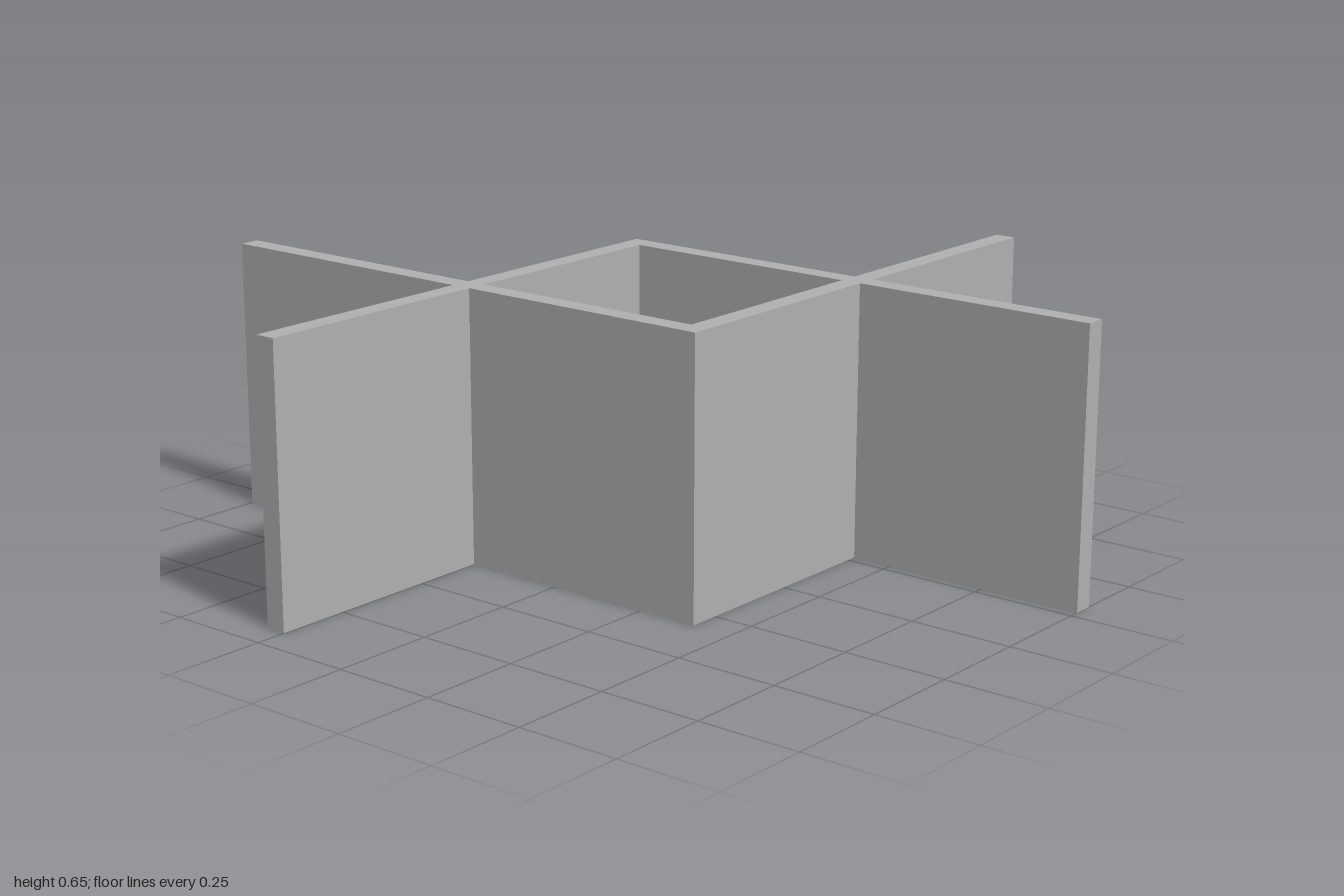
import * as THREE from 'three';

const HEIGHT = 0.655;
const END_X = 0.925; // open end of the front panel

// Outer plan outline of the four crossing panels, as [x, z]
const OUTLINE = [
  [-0.325, -1], [-0.275, -1], [-0.275, -0.3], [0.325, -0.3],
  [0.325, 0.35], [END_X, 0.35], [END_X, 0.4], [0.325, 0.4],
  [0.325, 1], [0.275, 1], [0.275, 0.4], [-0.325, 0.4],
  [-0.325, -0.25], [-END_X, -0.25], [-END_X, -0.3], [-0.325, -0.3],
];

// Central cell enclosed by the panels
const CELL = [[-0.275, -0.25], [-0.275, 0.35], [0.275, 0.35], [0.275, -0.25]];

const toPoints = (list) => list.map(([x, z]) => new THREE.Vector2(x, z));

// Drop the triangles that close the hollow panel at its +x end
function openEnd(geometry) {
  const pos = geometry.attributes.position;
  const kept = [];
  for (let i = 0; i < pos.count; i += 3) {
    const isCap = [0, 1, 2].every((k) => pos.getX(i + k) > END_X - 1e-4);
    if (!isCap) for (let k = 0; k < 3; k++) kept.push(pos.getX(i + k), pos.getY(i + k), pos.getZ(i + k));
  }
  const result = new THREE.BufferGeometry();
  result.setAttribute('position', new THREE.Float32BufferAttribute(kept, 3));
  result.computeVertexNormals();
  return result;
}

export function createModel() {
  const grey = new THREE.MeshStandardMaterial({ color: 0xb0b0b0, side: THREE.DoubleSide });
  grey.name = 'plain grey';

  const plan = new THREE.Shape(toPoints(OUTLINE));
  plan.holes.push(new THREE.Path(toPoints(CELL)));

  // Extrude the plan upward: shape y becomes z
  const geometry = new THREE.ExtrudeGeometry(plan, { depth: HEIGHT, bevelEnabled: false });
  geometry.rotateX(Math.PI / 2).translate(0, HEIGHT, 0);

  const panels = new THREE.Mesh(openEnd(geometry), grey);
  panels.name = 'crossingPanels';

  const group = new THREE.Group();
  group.name = 'panelDivider';
  group.add(panels);
  return group;
}
